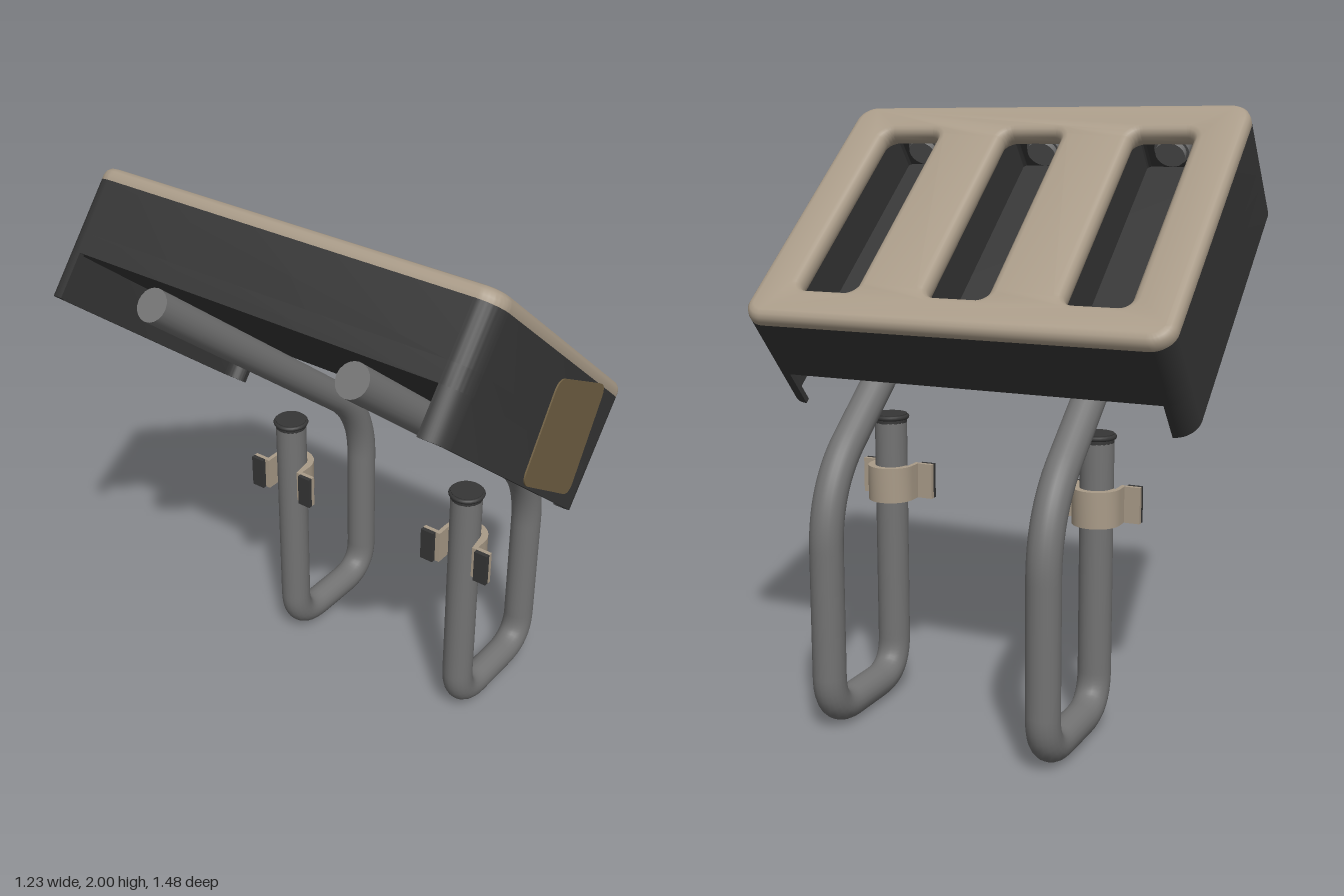
import * as THREE from 'three';
import { toCreasedNormals } from 'three/addons/utils/BufferGeometryUtils.js';

const L = 1.065, H = 0.735, R = 0.075;      // housing length, half width, corner radius
const TILT = -0.692, ORIGIN = [-0.62, 1.68]; // lower edge of the housing's high end
const BAYS = [0.47, 0.003, -0.463];

const mat = (name, color) => {
  const m = new THREE.MeshStandardMaterial({ color });
  m.name = name;
  return m;
};

// Closed path with rounded corners
function rounded(points, r, path = new THREE.Shape()) {
  const p = points.map(([x, y]) => new THREE.Vector2(x, y));
  p.forEach((c, i) => {
    const a = p[(i + p.length - 1) % p.length], b = p[(i + 1) % p.length];
    const s = c.clone().add(a.clone().sub(c).setLength(r));
    const e = c.clone().add(b.clone().sub(c).setLength(r));
    if (i) path.lineTo(s.x, s.y); else path.moveTo(s.x, s.y);
    path.quadraticCurveTo(c.x, c.y, e.x, e.y);
  });
  path.closePath();
  return path;
}

function roundRect(x0, x1, y0, y1, r, path = new THREE.Shape()) {
  path.moveTo(x0 + r, y0);
  path.lineTo(x1 - r, y0);
  path.absarc(x1 - r, y0 + r, r, -Math.PI / 2, 0);
  path.lineTo(x1, y1 - r);
  path.absarc(x1 - r, y1 - r, r, 0, Math.PI / 2);
  path.lineTo(x0 + r, y1);
  path.absarc(x0 + r, y1 - r, r, Math.PI / 2, Math.PI);
  path.lineTo(x0, y0 + r);
  path.absarc(x0 + r, y0 + r, r, Math.PI, Math.PI * 1.5);
  return path;
}

// Extrude a plan shape upward
function slab(shape, depth, bevel = 0) {
  const g = new THREE.ExtrudeGeometry(shape, {
    depth, curveSegments: 8, bevelEnabled: bevel > 0, bevelSize: bevel,
    bevelThickness: bevel, bevelOffset: -bevel, bevelSegments: 3,
  });
  g.rotateX(-Math.PI / 2);
  return toCreasedNormals(g, 0.6);
}

export function createModel() {
  const root = new THREE.Group();
  root.name = 'tiltedUnitOnLegs';
  const beige = mat('beige', 0xa99b88);
  const dark = mat('charcoal', 0x363636);
  const grey = mat('steelGrey', 0x737373);
  const bronze = mat('bronze', 0x6f5f42);

  const add = (parent, name, geo, material, x = 0, y = 0, z = 0) => {
    const m = new THREE.Mesh(geo, material);
    m.name = name;
    m.position.set(x, y, z);
    parent.add(m);
    return m;
  };

  // Tilted housing: local x runs down the slope, y is outward from the face
  const housing = new THREE.Group();
  housing.name = 'housing';
  housing.position.set(...ORIGIN, 0);
  housing.rotation.z = TILT;
  root.add(housing);

  const outline = (u0, u1, half, r) => {
    const s = roundRect(0, L, -H, H, R);
    for (const z of BAYS) s.holes.push(roundRect(u0, u1, -z - half, -z + half, r, new THREE.Path()));
    return s;
  };
  add(housing, 'housingBase', slab(roundRect(0, L, -H, H, R), 0.065), dark, 0, 0.15);
  add(housing, 'housingBody', slab(outline(0.07, 0.955, 0.118, 0.015), 0.175), dark, 0, 0.215);
  add(housing, 'faceCover', slab(outline(0.145, 0.925, 0.108, 0.035), 0.015, 0.03), beige, 0, 0.39);

  // Side skirts wrap round the corners and leave both ends open
  const t = 0.02, c = H - R;
  const skirt = new THREE.Shape();
  skirt.moveTo(0, c);
  skirt.absarc(R, c, R, Math.PI, Math.PI / 2, true);
  skirt.lineTo(L - R, H);
  skirt.absarc(L - R, c, R, Math.PI / 2, 0, true);
  skirt.lineTo(L - t, c);
  skirt.absarc(L - R, c, R - t, 0, Math.PI / 2);
  skirt.lineTo(R, H - t);
  skirt.absarc(R, c, R - t, Math.PI / 2, Math.PI);
  skirt.closePath();
  const skirtGeo = slab(skirt, 0.15);
  add(housing, 'rightSkirt', skirtGeo, dark);
  add(housing, 'leftSkirt', skirtGeo, dark, L).rotation.y = Math.PI;

  // Round sockets at both ends of each bay
  const socket = (z, u0, u1, r) => {
    const g = new THREE.CylinderGeometry(r, r, u1 - u0, 28).rotateZ(Math.PI / 2);
    add(housing, 'socket', g, grey, (u0 + u1) / 2, 0.323, z);
  };
  for (const z of BAYS) {
    socket(z, 0.07, 0.115, 0.06);
    socket(z, 0.115, 0.135, 0.051);
    socket(z, 0.93, 0.955, 0.06);
    socket(z, 0.91, 0.93, 0.051);
  }

  // Thin plate on the front side wall
  const plate = rounded([[-0.18, 1.318], [0.0, 1.595], [0.31, 1.43], [0.125, 1.115]], 0.045);
  add(root, 'sidePlate', new THREE.ExtrudeGeometry(plate, { depth: 0.005, bevelEnabled: false }),
    bronze, 0, 0, H);

  // Bent tube legs: under the housing, down, along the ground and up again
  const under = u => new THREE.Vector3(
    ORIGIN[0] + u * Math.cos(TILT) - 0.083 * Math.sin(TILT),
    ORIGIN[1] + u * Math.sin(TILT) + 0.083 * Math.cos(TILT), 0);
  const V = (x, y) => new THREE.Vector3(x, y, 0);
  const nodes = [under(0.08), V(0.557, 0.812), V(0.557, 0.055), V(0.13, 0.055), V(0.13, 0.95)];
  const trims = [0, 0.2, 0.13, 0.13, 0];
  const path = new THREE.CurvePath();
  let from = nodes[0];
  for (let i = 1; i < nodes.length - 1; i++) {
    const n = nodes[i];
    const toward = q => n.clone().add(q.clone().sub(n).setLength(trims[i]));
    const a = toward(nodes[i - 1]), b = toward(nodes[i + 1]);
    path.add(new THREE.LineCurve3(from, a));
    path.add(new THREE.QuadraticBezierCurve3(a, n, b));
    from = b;
  }
  path.add(new THREE.LineCurve3(from, nodes[4]));
  const tubeGeo = new THREE.TubeGeometry(path, 160, 0.055, 20, false);

  // Saddle clamp outline: half ring with two flat ears
  const saddle = new THREE.Shape();
  saddle.moveTo(-0.055, 0.133);
  saddle.lineTo(-0.055, 0.065);
  saddle.lineTo(0, 0.065);
  saddle.absarc(0, 0, 0.056, Math.PI / 2, -Math.PI / 2, true);
  saddle.lineTo(-0.055, -0.065);
  saddle.lineTo(-0.055, -0.133);
  saddle.lineTo(-0.04, -0.133);
  saddle.lineTo(-0.04, -0.08);
  saddle.lineTo(0, -0.08);
  saddle.absarc(0, 0, 0.08, -Math.PI / 2, Math.PI / 2);
  saddle.lineTo(-0.04, 0.08);
  saddle.lineTo(-0.04, 0.133);
  saddle.closePath();
  const saddleGeo = slab(saddle, 0.12);

  for (const z of [0.367, -0.387]) {
    const leg = new THREE.Group();
    leg.name = 'leg';
    leg.position.z = z;
    root.add(leg);
    add(leg, 'legTube', tubeGeo, grey);
    const end = add(leg, 'tubeEnd', new THREE.CircleGeometry(0.055, 20).rotateY(-Math.PI / 2),
      grey, nodes[0].x, nodes[0].y);
    end.rotation.z = TILT;
    add(leg, 'postCap', new THREE.CylinderGeometry(0.055, 0.055, 0.03, 24), dark, 0.13, 0.963);
    add(leg, 'postRim', new THREE.TorusGeometry(0.055, 0.008, 8, 24).rotateX(Math.PI / 2),
      dark, 0.13, 0.967);
    add(leg, 'clamp', saddleGeo, beige, 0.13, 0.68);
    for (const s of [1, -1]) {
      add(leg, 'clampPad', new THREE.BoxGeometry(0.015, 0.12, 0.05), dark, 0.0675, 0.74, s * 0.108);
    }
  }
  return root;
}
